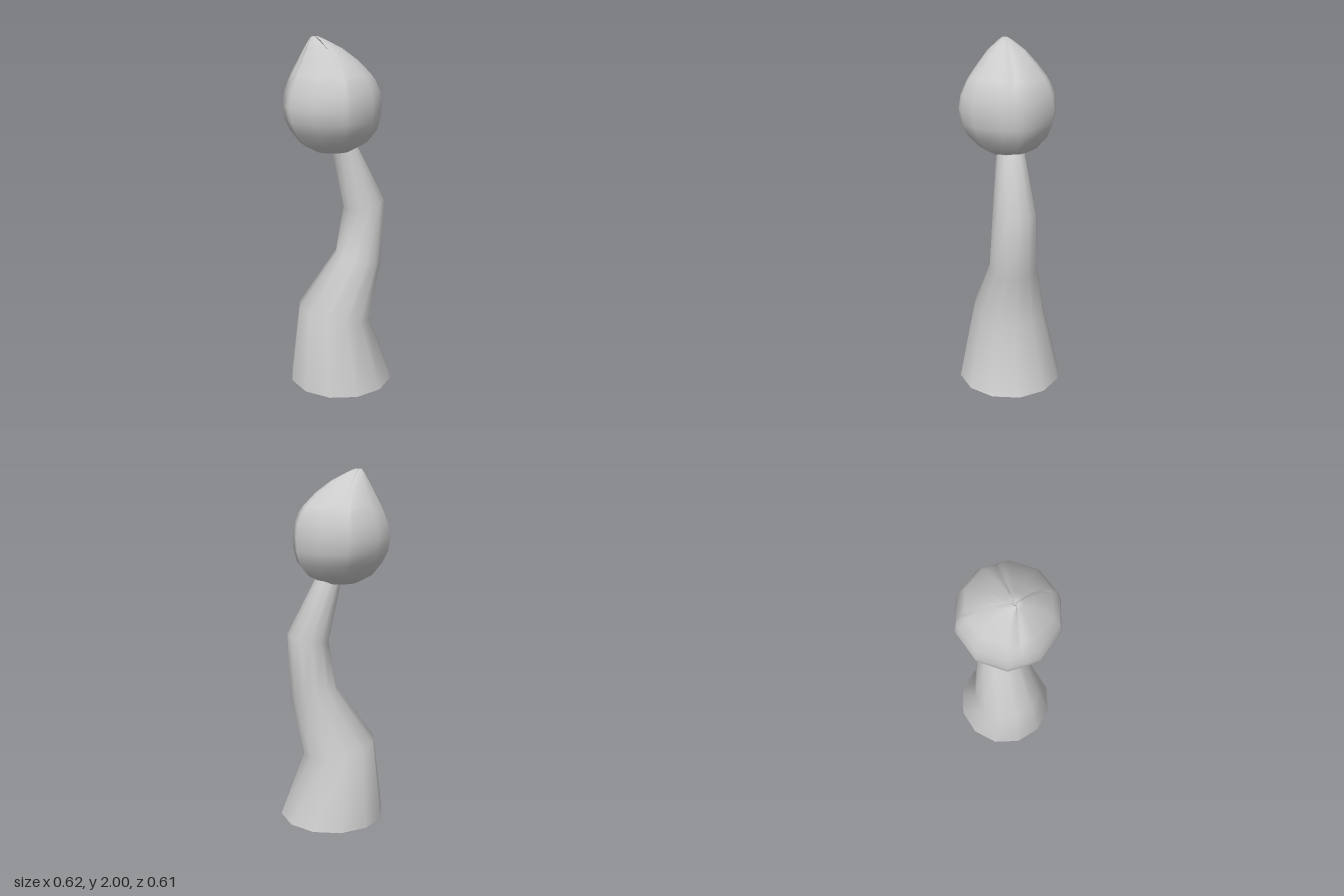
import * as THREE from 'three';

const rad = THREE.MathUtils.degToRad;

// Skin a stack of closed rings; point(i, angle, faceted) gives each vertex.
// Normals come from the round form, positions from the faceted one.
function loft(ringCount, angles, point) {
  const n = angles.length;
  const coords = (faceted) => {
    const out = [];
    for (let i = 0; i < ringCount; i++) {
      for (const a of angles) out.push(...point(i, a, faceted));
    }
    return new THREE.Float32BufferAttribute(out, 3);
  };
  const index = [];
  for (let i = 0; i < ringCount - 1; i++) {
    for (let j = 0; j < n; j++) {
      const a = i * n + j, b = i * n + (j + 1) % n;
      index.push(a, a + n, b, b, a + n, b + n);
    }
  }
  const geo = new THREE.BufferGeometry();
  geo.setIndex(index);
  geo.setAttribute('position', coords(false));
  geo.computeVertexNormals();
  geo.setAttribute('position', coords(true));
  return geo;
}

// Stem rings: left x, left y, right x, right y, half depth
const STEM = [
  [-0.305, 0, 0.305, 0, 0.305],
  [-0.25, 0.46, 0.165, 0.375, 0.213],
  [-0.025, 0.775, 0.24, 0.72, 0.137],
  [0.02, 1.045, 0.255, 1.095, 0.123],
  [-0.055, 1.4, 0.088, 1.415, 0.078],
];

function stemGeometry() {
  const angles = Array.from({ length: 12 }, (_, k) => rad(k * 30));
  return loft(STEM.length, angles, (i, a) => {
    const [lx, ly, rx, ry, d] = STEM[i];
    const t = (1 + Math.cos(a)) / 2;
    return [lx + (rx - lx) * t, ly + (ry - ly) * t, d * Math.sin(a)];
  });
}

// Bud rings: y, left x, right x, half depth, groove depth
const BUD = [
  [1.368, -0.045, -0.045, 0, 0],
  [1.38, -0.135, 0.05, 0.09, 0],
  [1.425, -0.218, 0.135, 0.168, 0],
  [1.495, -0.27, 0.188, 0.232, 0],
  [1.56, -0.3, 0.203, 0.26, 0],
  [1.635, -0.31, 0.207, 0.272, 0],
  [1.71, -0.295, 0.198, 0.26, 0],
  [1.77, -0.275, 0.172, 0.235, 0.003],
  [1.8, -0.262, 0.15, 0.218, 0.017],
  [1.87, -0.228, 0.085, 0.163, 0.02],
  [1.935, -0.197, 0, 0.105, 0.02],
  [1.98, -0.175, -0.085, 0.045, 0.014],
  [1.998, -0.163, -0.125, 0.014, 0.006],
  [1.97, -0.145, -0.145, 0, 0],
];

function budGeometry() {
  // Ten corners, with tight extra columns for the four petal grooves
  const angles = [-18, -5, 0, 5, 18, 54, 85, 90, 95, 126, 162, 175, 180, 185, 198, 234, 265, 270, 275, 306].map(rad);
  const side = rad(36), c18 = Math.cos(side / 2);
  return loft(BUD.length, angles, (i, a, faceted) => {
    const [y, l, r, d, groove] = BUD[i];
    const off = a - Math.round(a / side) * side;
    const s = faceted ? c18 / Math.cos(off) : 1;
    const inGroove = Math.abs(Math.sin(2 * a)) < 0.01;
    const cut = inGroove ? groove : 0;
    const rx = (r - l) / 2 / c18;
    return [
      (l + r) / 2 + Math.cos(a) * (rx * s - cut),
      y,
      Math.sin(a) * (d * s - cut),
    ];
  });
}

export function createModel() {
  const grey = new THREE.MeshStandardMaterial({ color: 0xcccccc, side: THREE.DoubleSide });
  grey.name = 'light grey';

  const model = new THREE.Group();
  model.name = 'buddedStalk';

  // Bent, open-bottomed stem
  const stem = new THREE.Mesh(stemGeometry(), grey);
  stem.name = 'stem';

  // Closed bud with four petal seams
  const bud = new THREE.Mesh(budGeometry(), grey);
  bud.name = 'bud';

  model.add(stem, bud);
  return model;
}
